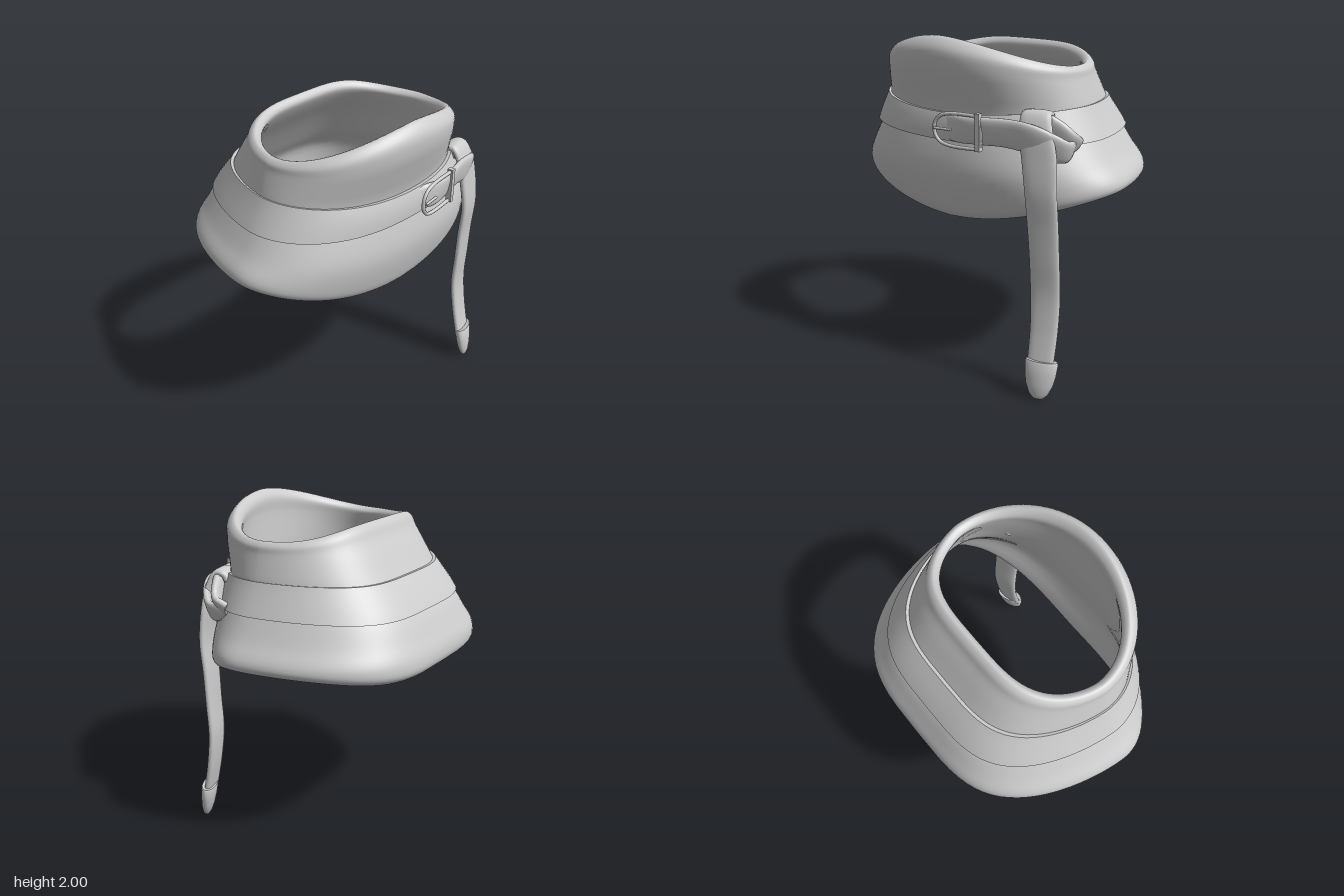
import * as THREE from 'three';
import { toCreasedNormals } from 'three/addons/utils/BufferGeometryUtils.js';

const V = (x, y, z) => new THREE.Vector3(x, y, z);
const material = new THREE.MeshStandardMaterial({ color: 0xcccccc, side: THREE.DoubleSide });

function part(name, geometry) {
  const mesh = new THREE.Mesh(geometry, material);
  mesh.name = name;
  return mesh;
}

// Skin a list of closed rings; loop also joins the last ring to the first.
function skin(rings, loop = false) {
  const n = rings[0].length, m = rings.length, index = [];
  for (let r = 0; r < (loop ? m : m - 1); r++) {
    for (let i = 0; i < n; i++) {
      const j = (i + 1) % n, s = (r + 1) % m;
      const a = r * n + i, b = r * n + j, c = s * n + j, d = s * n + i;
      index.push(a, b, c, a, c, d);
    }
  }
  const g = new THREE.BufferGeometry().setFromPoints(rings.flat());
  g.setIndex(index);
  g.computeVertexNormals();
  return g;
}

const power = (v, p) => Math.sign(v) * Math.abs(v) ** p;

// Rounded ring: half width, front z, back z, then height at front, side and back.
// The front is oval, squarer toward the hem; the back is a rounded trapezoid.
function waistRing([w, zf, zb, yf, ys, yb], sides = 96) {
  const ring = [], zc = 0.15;
  const low = THREE.MathUtils.mapLinear(ys, 1.15, 1.83, 1, 0);
  for (let i = 0; i < sides; i++) {
    const t = (i / sides) * Math.PI * 2, c = Math.cos(t), front = c >= 0;
    const x = power(Math.sin(t), 2 / (front ? 2.1 + 0.7 * low : 3.7));
    const y = front ? yf + (ys - yf) * Math.abs(x) ** 1.7 : ys + (yb - ys) * c ** 4;
    const z = front ? c * (zf - zc) : power(c, 1.25) * (zc - zb);
    ring.push(V(w * x, y, zc + z));
  }
  return ring;
}

// Smooth a closed wall profile by running a spline through each column.
function smoothWall(rows, steps) {
  const rings = rows.map(r => waistRing(r));
  const columns = rings[0].map((_, i) =>
    new THREE.CatmullRomCurve3(rings.map(r => r[i]), true, 'centripetal'));
  return Array.from({ length: steps }, (_, k) => columns.map(c => c.getPoint(k / steps)));
}

// Padded strap along a path; each point is [x, y, z, width], across is the width direction.
function strap(points, across, thickness, steps = 48) {
  const curve = new THREE.CatmullRomCurve3(points.map(p => V(p[0], p[1], p[2])));
  const widths = new THREE.CatmullRomCurve3(points.map(p => V(p[3], 0, 0)), false, 'catmullrom');
  const rings = [];
  for (let k = 0; k <= steps; k++) {
    const f = k / steps, T = curve.getTangent(f), p = curve.getPoint(f);
    const u = across.clone().addScaledVector(T, -across.dot(T)).normalize();
    const v = T.clone().cross(u), w = widths.getPoint(f).x / 2;
    const ring = Array.from({ length: 20 }, (_, i) => {
      const t = (i / 20) * Math.PI * 2;
      return p.clone().addScaledVector(u, w * power(Math.cos(t), 0.7))
        .addScaledVector(v, thickness / 2 * power(Math.sin(t), 0.7));
    });
    if (k === 0) rings.push(ring.map(() => p.clone()));
    rings.push(ring);
    if (k === steps) rings.push(ring.map(() => p.clone()));
  }
  return toCreasedNormals(skin(rings), 0.9);
}

export function createModel() {
  const group = new THREE.Group();

  // Flared body: hem, skirt, waist, rolled rim, then back down the inside
  group.add(part('collarBody', skin(smoothWall([
    [0.89, 0.54, -0.66, 0.945, 1.15, 1.09],
    [0.91, 0.572, -0.70, 0.97, 1.18, 1.125],
    [0.90, 0.6, -0.70, 1.04, 1.225, 1.2],
    [0.835, 0.635, -0.655, 1.23, 1.31, 1.3],
    [0.755, 0.61, -0.59, 1.42, 1.44, 1.42],
    [0.705, 0.59, -0.5, 1.5, 1.53, 1.52],
    [0.69, 0.6, -0.43, 1.59, 1.62, 1.63],
    [0.67, 0.64, -0.365, 1.72, 1.70, 1.74],
    [0.652, 0.675, -0.315, 1.84, 1.77, 1.82],
    [0.645, 0.675, -0.285, 1.94, 1.81, 1.88],
    [0.615, 0.62, -0.25, 2.0, 1.835, 1.905],
    [0.58, 0.575, -0.22, 1.95, 1.81, 1.87],
    [0.585, 0.575, -0.24, 1.85, 1.77, 1.82],
    [0.645, 0.56, -0.385, 1.6, 1.62, 1.63],
    [0.705, 0.57, -0.53, 1.42, 1.44, 1.42],
    [0.79, 0.59, -0.61, 1.23, 1.31, 1.3],
    [0.86, 0.525, -0.635, 0.98, 1.165, 1.12],
  ], 68), true)));

  // Belt band around the waist
  const beltRows = [
    [0.72, 0.59, -0.56, 1.425, 1.445, 1.425],
    [0.79, 0.637, -0.6, 1.42, 1.44, 1.42],
    [0.765, 0.64, -0.57, 1.46, 1.49, 1.47],
    [0.725, 0.635, -0.51, 1.53, 1.565, 1.55],
    [0.7, 0.62, -0.465, 1.575, 1.622, 1.605],
    [0.67, 0.58, -0.42, 1.57, 1.615, 1.6],
  ];
  group.add(part('belt', toCreasedNormals(skin(beltRows.map(r => waistRing(r)), true), 0.7)));

  // Free end of the belt, through the buckle and folded down over the knot
  group.add(part('beltEnd', strap([
    [0.06, 1.497, 0.61, 0.14], [0.17, 1.5, 0.645, 0.155], [0.3, 1.505, 0.63, 0.16],
    [0.45, 1.505, 0.59, 0.165], [0.58, 1.487, 0.56, 0.17], [0.67, 1.445, 0.505, 0.16],
    [0.73, 1.41, 0.43, 0.13], [0.71, 1.43, 0.34, 0.11],
  ], V(0.35, 1, 0.1), 0.045)));

  // Fold of the knot slanting down beside the loop
  group.add(part('knotFold', strap([
    [0.5, 1.575, 0.5, 0.06], [0.58, 1.578, 0.48, 0.1], [0.66, 1.525, 0.44, 0.13],
    [0.72, 1.455, 0.39, 0.13], [0.72, 1.43, 0.32, 0.1],
  ], V(0.5, 0.85, 0), 0.05)));

  // Knot loop over the belt continuing into the hanging tail
  group.add(part('hangingStrap', strap([
    [0.57, 1.56, 0.42, 0.13], [0.57, 1.6, 0.44, 0.15], [0.575, 1.608, 0.49, 0.17],
    [0.595, 1.53, 0.53, 0.19], [0.63, 1.38, 0.545, 0.2], [0.65, 1.2, 0.555, 0.185],
    [0.655, 1.0, 0.537, 0.18], [0.66, 0.8, 0.525, 0.175], [0.662, 0.6, 0.515, 0.175],
    [0.67, 0.4, 0.535, 0.165], [0.675, 0.18, 0.58, 0.155],
  ], V(0.96, 0, -0.25), 0.045, 72)));

  // Pointed metal tip on the tail
  const tipProfile = [[0, 0], [0.03, 0.008], [0.055, 0.035], [0.078, 0.09], [0.09, 0.15],
    [0.096, 0.222], [0.09, 0.232], [0.0, 0.225]].map(p => new THREE.Vector2(...p));
  const tip = part('strapTip', toCreasedNormals(new THREE.LatheGeometry(tipProfile, 24), 0.8));
  tip.scale.z = 0.48;
  tip.rotation.set(-0.16, 0.4, 0);
  tip.position.set(0.685, 0, 0.612);
  group.add(tip);

  // D-shaped buckle frame with keeper bar and prong
  const buckle = new THREE.Group();
  buckle.name = 'buckle';
  buckle.position.set(0.165, 1.497, 0.668);
  buckle.rotation.y = 0.13;
  const frame = new THREE.CatmullRomCurve3([
    [0.14, -0.09], [0.14, 0.09], [0.12, 0.092], [-0.05, 0.09], [-0.11, 0.072],
    [-0.143, 0.03], [-0.143, -0.03], [-0.11, -0.072], [-0.05, -0.09], [0.12, -0.092],
  ].map(([x, y]) => V(x, y, 0)), true);
  buckle.add(part('buckleFrame', new THREE.TubeGeometry(frame, 80, 0.011, 8, true)));
  const keeper = part('keeperBar', new THREE.BoxGeometry(0.028, 0.21, 0.035));
  keeper.position.set(0.14, 0.005, 0.002);
  const prong = part('prong', new THREE.CylinderGeometry(0.008, 0.008, 0.11, 8));
  prong.rotation.z = Math.PI / 2;
  prong.position.set(-0.085, 0.003, 0.012);
  buckle.add(keeper, prong);
  group.add(buckle);

  return group;
}
